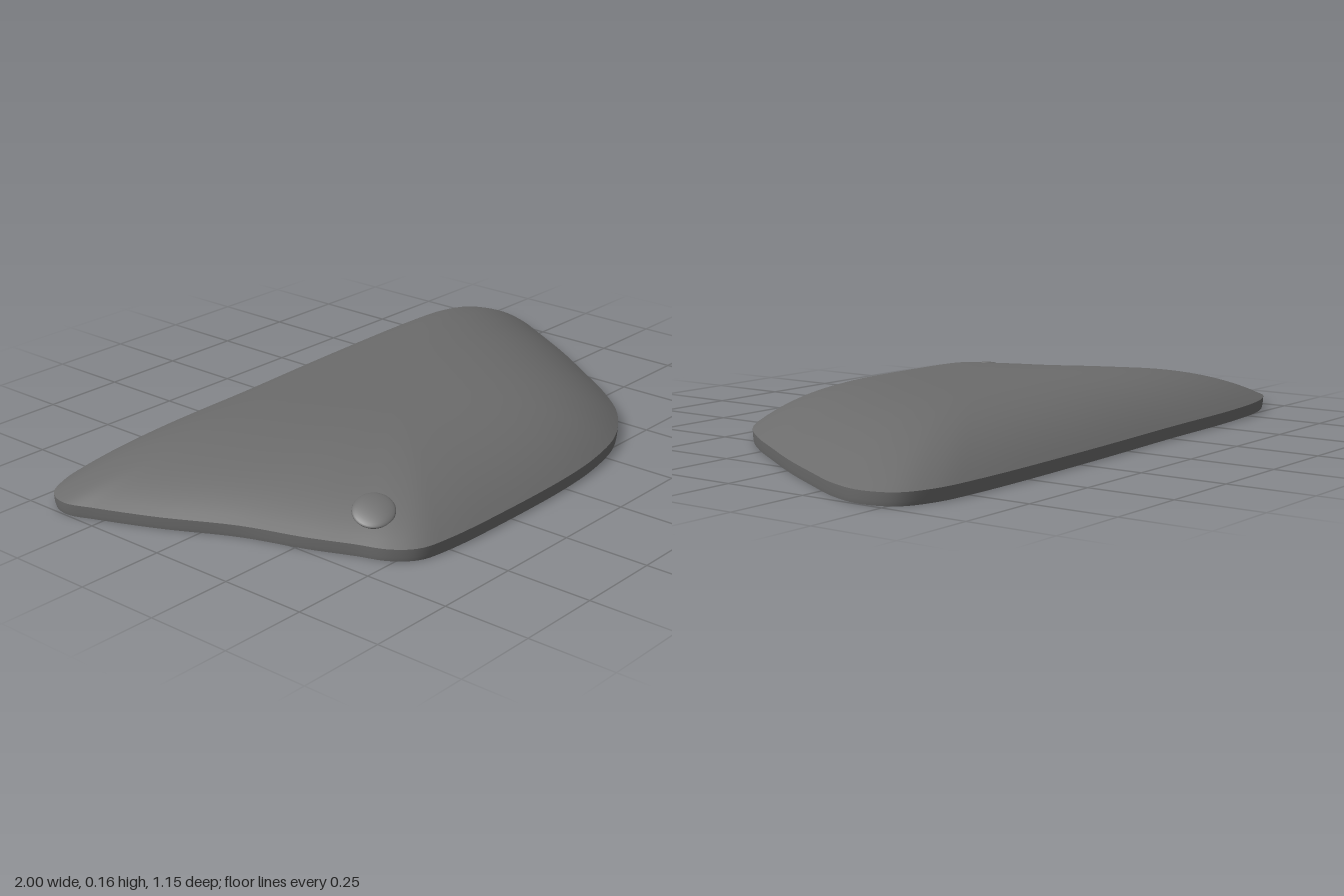
import * as THREE from 'three';

// Plan outline of the cover as [x, z], starting at the left end of the back edge
const OUTLINE = [
  [-1, -0.36], [-0.975, -0.43], [-0.9, -0.475], [-0.8, -0.503], [-0.6, -0.525],
  [-0.25, -0.538], [0.2, -0.562], [0.7, -0.575], [0.88, -0.562], [0.97, -0.52],
  [1, -0.43], [0.97, -0.32], [0.9, -0.19], [0.8, -0.02], [0.7, 0.13],
  [0.6, 0.275], [0.5, 0.39], [0.4, 0.465], [0.3, 0.515], [0.15, 0.552],
  [0, 0.568], [-0.25, 0.573], [-0.5, 0.565], [-0.6, 0.545], [-0.655, 0.49],
  [-0.69, 0.4], [-0.74, 0.28], [-0.8, 0.1], [-0.9, -0.1], [-0.97, -0.27],
];
const CENTRE = [0, -0.04];
const RIM = 0.035, TOP = 0.162, SEGMENTS = 160;

// Height of the dome at a fraction s of the way from centre to rim
const domeHeight = (s) => RIM + (TOP - RIM) * (1 - Math.pow(s, 3.6));

// Skin a list of [scale, height] rings of the outline
function ringSurface(rings) {
  const curve = new THREE.CatmullRomCurve3(
    OUTLINE.map(([x, z]) => new THREE.Vector3(x, 0, z)), true);
  const loop = curve.getPoints(SEGMENTS).slice(0, SEGMENTS);
  const positions = [], index = [];
  rings.forEach(([s, y], r) => {
    loop.forEach((p, j) => {
      positions.push(CENTRE[0] + (p.x - CENTRE[0]) * s, y, CENTRE[1] + (p.z - CENTRE[1]) * s);
      if (r === rings.length - 1) return;
      const a = r * SEGMENTS + j, b = r * SEGMENTS + (j + 1) % SEGMENTS;
      const c = a + SEGMENTS, d = b + SEGMENTS;
      index.push(a, c, b, b, c, d);
    });
  });
  const geometry = new THREE.BufferGeometry();
  geometry.setAttribute('position', new THREE.Float32BufferAttribute(positions, 3));
  geometry.setIndex(index);
  geometry.computeVertexNormals();
  return geometry;
}

export function createModel() {
  const group = new THREE.Group();
  group.name = 'sideCover';
  const grey = new THREE.MeshStandardMaterial({ color: 0x6c6c6c, side: THREE.DoubleSide });
  grey.name = 'grey';

  const add = (name, geometry) => {
    const mesh = new THREE.Mesh(geometry, grey);
    mesh.name = name;
    group.add(mesh);
    return mesh;
  };

  // Domed shell, open underneath
  const domeRings = [];
  for (let i = 0; i <= 28; i++) {
    const s = 1 - i / 28;
    domeRings.push([s, domeHeight(s)]);
  }
  add('domedPanel', ringSurface(domeRings));

  // Low wall around the edge, leaning out very slightly
  add('rimWall', ringSurface([[0.995, 0], [0.998, 0.012], [1, RIM]]));

  // Round fastener lying flush in the front corner
  const fastener = add('fastener', new THREE.SphereGeometry(0.058, 32, 16));
  fastener.scale.y = 0.2;
  fastener.position.set(-0.595, 0.091, 0.385);
  fastener.quaternion.setFromUnitVectors(
    new THREE.Vector3(0, 1, 0), new THREE.Vector3(-0.4, 1, 0.36).normalize());

  return group;
}
